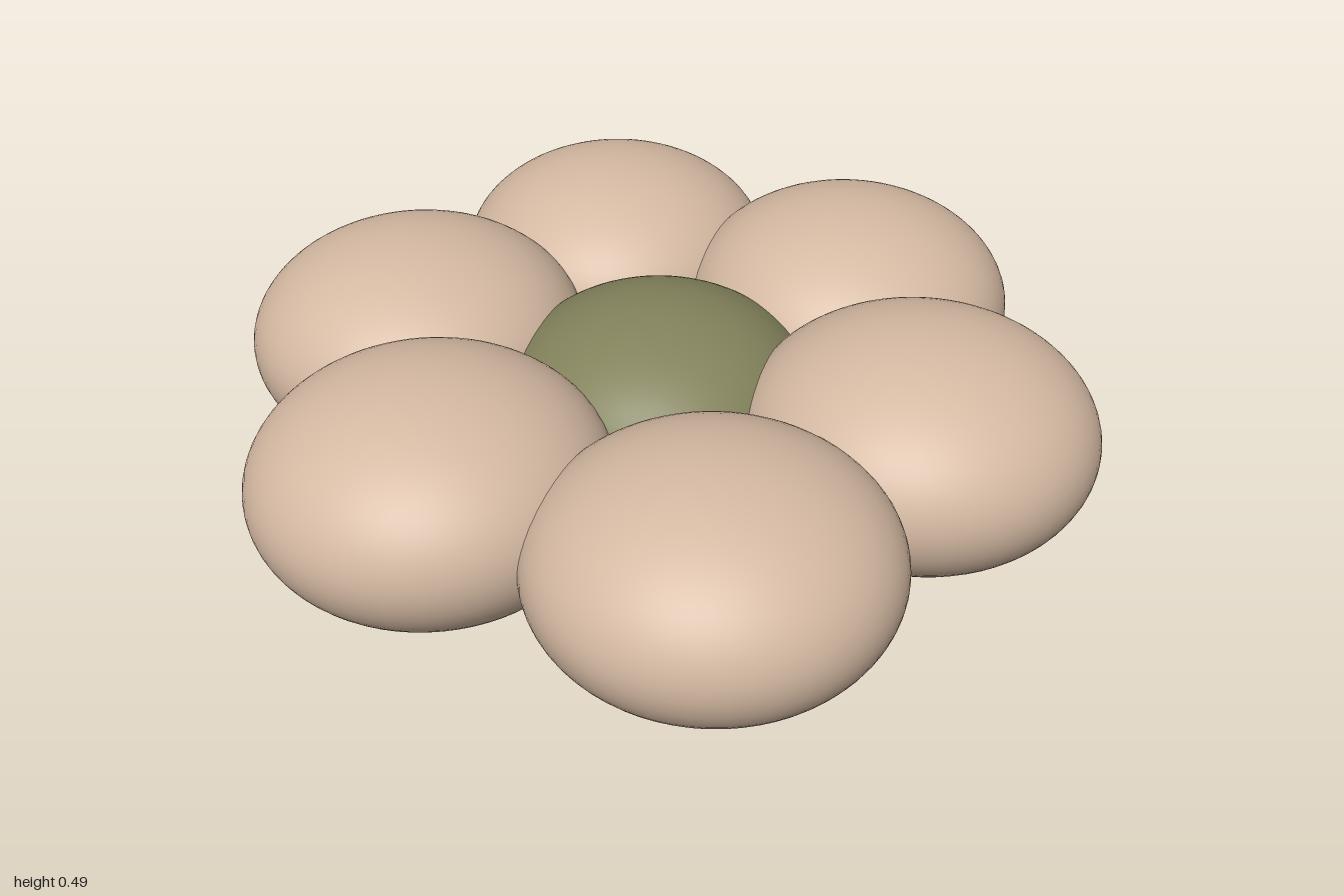
import * as THREE from 'three';

export function createModel() {
  const model = new THREE.Group();
  const petalMat = new THREE.MeshStandardMaterial({ color: 0xd4b9a2 });
  petalMat.name = 'pale tan';
  const coreMat = new THREE.MeshStandardMaterial({ color: 0x82825c });
  coreMat.name = 'olive green';

  const sphere = new THREE.SphereGeometry(1, 64, 40);

  // Squashed ball with its own centre and radii
  function blob(name, material, [x, y, z], [rx, ry, rz]) {
    const mesh = new THREE.Mesh(sphere, material);
    mesh.name = name;
    mesh.position.set(x, y, z);
    mesh.scale.set(rx, ry, rz);
    model.add(mesh);
  }

  // Centre of the flower
  blob('flowerCentre', coreMat, [0, 0.23, 0], [0.335, 0.215, 0.335]);

  // Ring of six petals, slightly uneven
  const petals = [
    ['frontPetal', [0.01, 0.245, 0.63], [0.37, 0.24, 0.367]],
    ['frontLeftPetal', [0.505, 0.252, 0.275], [0.375, 0.247, 0.367]],
    ['backLeftPetal', [0.49, 0.252, -0.3], [0.37, 0.247, 0.368]],
    ['backPetal', [-0.01, 0.245, -0.635], [0.366, 0.24, 0.365]],
    ['backRightPetal', [-0.505, 0.252, -0.287], [0.373, 0.247, 0.368]],
    ['frontRightPetal', [-0.503, 0.252, 0.293], [0.372, 0.247, 0.368]],
  ];
  for (const [name, centre, radii] of petals) blob(name, petalMat, centre, radii);

  return model;
}
